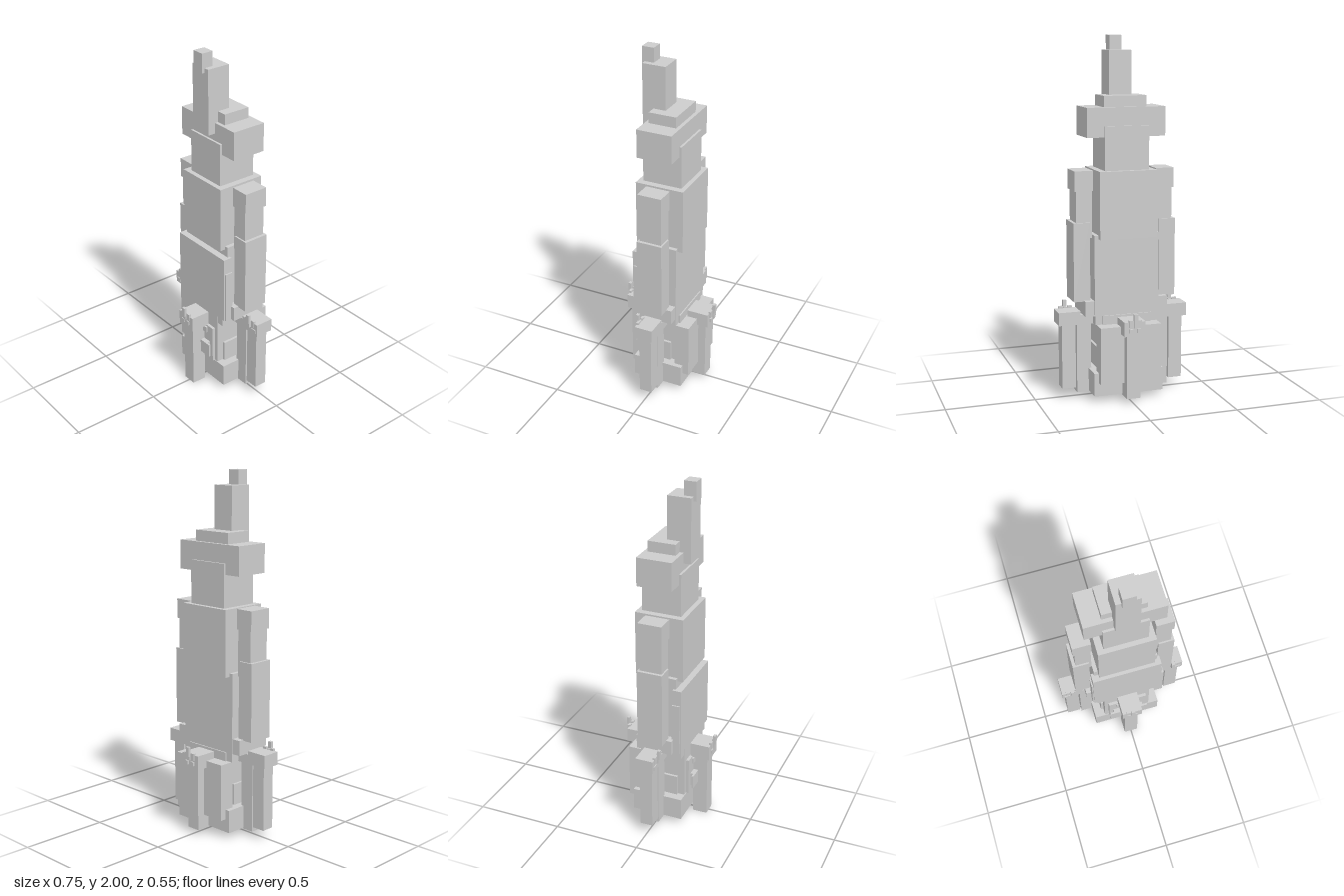
import * as THREE from 'three';

export function createModel() {
  const model = new THREE.Group();
  model.name = 'tower';
  const grey = new THREE.MeshStandardMaterial({ color: 0xcccccc });
  grey.name = 'light stone grey';

  // Box given by its limits on each axis
  function block(name, x0, x1, y0, y1, z0, z1, parent = model) {
    const mesh = new THREE.Mesh(new THREE.BoxGeometry(x1 - x0, y1 - y0, z1 - z0), grey);
    mesh.position.set((x0 + x1) / 2, (y0 + y1) / 2, (z0 + z1) / 2);
    mesh.name = name;
    parent.add(mesh);
  }
  // Box centred on x = 0
  const mid = (name, halfX, ...rest) => block(name, -halfX, halfX, ...rest);
  // Mirrored pair of boxes
  function pair(name, x0, x1, ...rest) {
    block(name + 'Left', x0, x1, ...rest);
    block(name + 'Right', -x1, -x0, ...rest);
  }

  // Spire and crown
  mid('spireTip', 0.035, 1.895, 2.0, 0.085, 0.153);
  mid('spire', 0.065, 1.56, 1.92, 0.004, 0.138);
  mid('crownStep', 0.121, 1.62, 1.68, -0.083, 0.075);
  mid('crown', 0.222, 1.46, 1.62, -0.104, 0.096);
  mid('neck', 0.125, 1.28, 1.52, -0.117, 0.109);

  // Upper and middle body
  mid('upperBody', 0.162, 0.91, 1.28, -0.143, 0.136);
  mid('middleBody', 0.185, 0.48, 0.93, -0.113, 0.105);
  mid('bodyFrontPanel', 0.201, 0.48, 0.87, 0.09, 0.143);
  mid('bodyFrontLedge', 0.209, 0.48, 0.78, 0.09, 0.136);
  mid('bodySkirt', 0.237, 0.48, 0.565, -0.11, 0.1);

  // Side towers
  pair('sideTowerTop', 0.18, 0.285, 1.17, 1.28, -0.074, 0.065);
  pair('sideTowerShaft', 0.185, 0.275, 0.91, 1.17, -0.068, 0.06);
  pair('sideTower', 0.2, 0.293, 0.56, 0.997, -0.078, 0.069);

  // Core and base
  mid('base', 0.2, 0.035, 0.165, -0.152, 0.144);
  mid('core', 0.14, 0.165, 0.48, -0.12, 0.14);
  mid('coreCollar', 0.18, 0.43, 0.48, -0.11, 0.136);
  mid('coreSidePlate', 0.155, 0.165, 0.285, -0.065, 0.1);
  mid('backPanel', 0.174, 0.11, 0.43, -0.188, -0.1);
  mid('frontPanel', 0.116, 0.165, 0.385, 0.13, 0.157);
  mid('frontPlaqueBack', 0.09, 0.205, 0.285, 0.157, 0.174);
  mid('frontPlaque', 0.116, 0.205, 0.285, 0.174, 0.185);
  mid('frontLintel', 0.07, 0.34, 0.375, 0.15, 0.167);

  // Front and back pillars with their caps
  mid('frontPillar', 0.04, 0, 0.39, 0.155, 0.24);
  mid('frontPillarCap', 0.06, 0.38, 0.466, 0.143, 0.258);
  mid('backPillar', 0.04, 0.03, 0.39, -0.233, -0.148);
  mid('backPillarCap', 0.06, 0.39, 0.47, -0.253, -0.127);

  // Small ornaments on the front and back caps
  for (const s of [1, -1]) {
    const ornament = new THREE.Group();
    ornament.name = s > 0 ? 'frontOrnament' : 'backOrnament';
    for (const m of [1, -1]) {
      const x = m * 0.022;
      block('upperStud', x - 0.013, x + 0.013, 0.44, 0.48, 0.247, 0.262, ornament);
      block('lowerStud', x - 0.01, x + 0.01, 0.41, 0.432, 0.25, 0.264, ornament);
    }
    block('finial', -0.011, 0.011, 0.462, 0.515, 0.26, 0.276, ornament);
    block('finialFoot', -0.011, 0.011, 0.44, 0.47, 0.25, 0.27, ornament);
    if (s < 0) ornament.rotation.y = Math.PI;
    model.add(ornament);
  }

  // Double side pillars with stepped caps
  pair('outerPillar', 0.275, 0.353, 0.06, 0.43, -0.04, 0.033);
  pair('innerPillar', 0.185, 0.267, 0.03, 0.43, -0.038, 0.035);
  pair('outerPillarCap', 0.25, 0.374, 0.426, 0.5, -0.057, 0.048);
  pair('innerPillarCap', 0.175, 0.25, 0.426, 0.48, -0.057, 0.048);
  pair('sideFinial', 0.302, 0.322, 0.49, 0.543, 0.05, 0.067);
  pair('sideFinialFoot', 0.302, 0.322, 0.465, 0.505, 0.04, 0.06);
  pair('sideUpperStud', 0.326, 0.35, 0.475, 0.512, 0.037, 0.052);
  pair('sideInnerStud', 0.274, 0.298, 0.475, 0.512, 0.037, 0.052);
  pair('sideLowerStud', 0.328, 0.363, 0.44, 0.462, 0.04, 0.053);

  return model;
}
